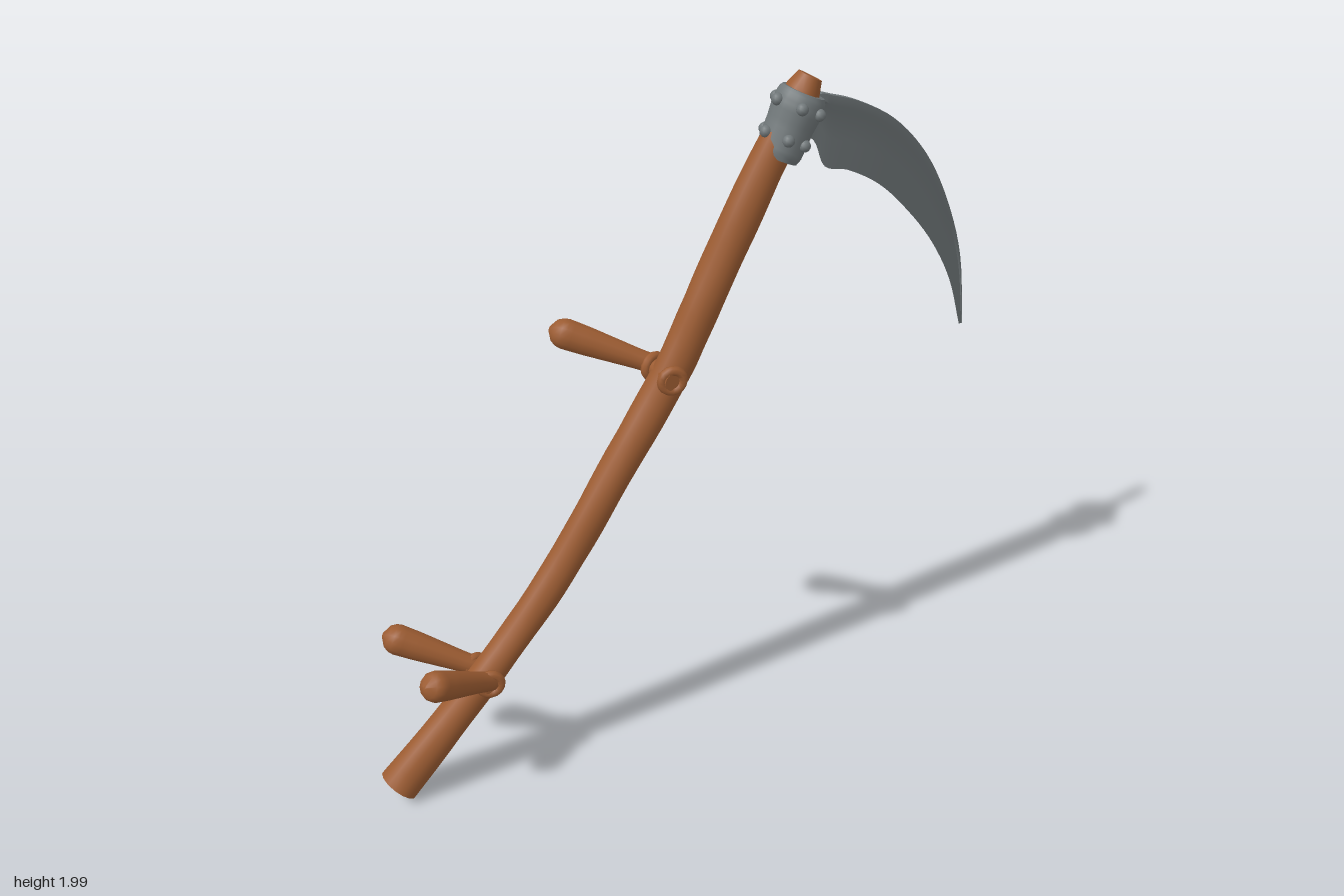
import * as THREE from 'three';
import { toCreasedNormals } from 'three/addons/utils/BufferGeometryUtils.js';

const V = (x, y, z) => new THREE.Vector3(x, y, z);
const wood = new THREE.MeshStandardMaterial({ color: 0x9c5c32 });
wood.name = 'brown wood';
const metal = new THREE.MeshStandardMaterial({ color: 0x71787a });
metal.name = 'grey metal';

// Skin over closed rings of points, with fan caps at both ends
function skin(rings) {
  const n = rings[0].length, pos = [], idx = [];
  rings.forEach(r => r.forEach(p => pos.push(p.x, p.y, p.z)));
  for (let i = 0; i < rings.length - 1; i++) {
    for (let j = 0; j < n; j++) {
      const a = i * n + j, b = i * n + (j + 1) % n;
      idx.push(a, b, a + n, b, b + n, a + n);
    }
  }
  const last = (rings.length - 1) * n;
  for (let j = 1; j < n - 1; j++) {
    idx.push(0, j + 1, j, last, last + j, last + j + 1);
  }
  const g = new THREE.BufferGeometry();
  g.setAttribute('position', new THREE.Float32BufferAttribute(pos, 3));
  g.setIndex(idx);
  return toCreasedNormals(g, 0.7);
}

// Round rod along a curve; radius(t, angle) gives its thickness
function rod(curve, steps, sides, radius) {
  const rings = [];
  for (let i = 0; i <= steps; i++) {
    const t = i / steps, c = curve.getPoint(t), tan = curve.getTangent(t);
    const n = V(0, 0, 1).cross(tan).normalize(), b = tan.clone().cross(n);
    rings.push(Array.from({ length: sides }, (_, j) => {
      const a = j / sides * Math.PI * 2, r = radius(t, a);
      return c.clone().addScaledVector(n, Math.cos(a) * r).addScaledVector(b, Math.sin(a) * r);
    }));
  }
  return skin(rings);
}

// Linear lookup in a list of [t, value]
function lookup(table, t) {
  const k = Math.max(1, table.findIndex(e => e[0] >= t - 1e-9));
  const [a, b] = [table[k - 1], table[k]];
  return THREE.MathUtils.mapLinear(t, a[0], b[0], a[1], b[1]);
}

export function createModel() {
  const model = new THREE.Group();
  model.name = 'scythe';
  const add = (name, geometry, material, parent = model) => {
    const m = new THREE.Mesh(geometry, material);
    m.name = name;
    parent.add(m);
    return m;
  };

  // Bent wooden shaft, wider at the foot
  const path = new THREE.CatmullRomCurve3([
    V(-0.95, 0.042, -0.04), V(-0.68, 0.35, 0), V(-0.47, 0.61, 0.02), V(-0.27, 0.92, 0.04),
    V(-0.1, 1.19, 0.055), V(0, 1.4, 0.07), V(0.15, 1.72, 0.095), V(0.29, 1.975, 0.11)]);
  const thick = [[0, 0.059], [0.08, 0.052], [0.18, 0.047], [0.5, 0.053], [0.8, 0.055], [0.92, 0.05], [0.98, 0.048], [1, 0.034]];
  add('shaft', rod(path, 50, 14, (t, a) =>
    lookup(thick, t) + 0.0015 * Math.sin(a * 3 + t * 17) * Math.sin(t * 40)), wood);

  // Handles: a rounded grip on a peg through the shaft, with a ring on each side
  const gripShape = [[0, 0.027], [0.2, 0.03], [0.65, 0.041], [0.85, 0.044], [0.9, 0.041], [0.95, 0.032], [1, 0.006]];
  const grip = (parent, from, to) => add('grip',
    rod(new THREE.LineCurve3(from, to), 20, 12, t => lookup(gripShape, t)), wood, parent);
  const mount = (name, x, y, z, half) => {
    const g = new THREE.Group();
    g.name = name;
    model.add(g);
    const peg = add('peg', new THREE.CylinderGeometry(0.027, 0.027, half * 2 + 0.02, 12), wood, g);
    peg.rotation.x = Math.PI / 2;
    peg.position.set(x, y, z);
    for (const s of [-1, 1]) {
      const ring = add('ring', new THREE.TorusGeometry(0.03, 0.014, 8, 16), wood, g);
      ring.position.set(x, y, z + s * half);
      ring.rotation.y = -0.25 * s;
    }
    return g;
  };
  const upper = mount('upperHandle', -0.13, 1.185, 0.055, 0.052);
  grip(upper, V(-0.12, 1.185, 0.0), V(-0.37, 1.295, -0.15));
  const lower = mount('lowerHandles', -0.69, 0.352, 0, 0.05);
  grip(lower, V(-0.68, 0.352, -0.04), V(-0.915, 0.47, -0.165));
  grip(lower, V(-0.68, 0.352, 0.04), V(-0.915, 0.47, 0.13));

  // Metal collar clamped around the top, with flared rims
  const collarPath = new THREE.LineCurve3(V(0.195, 1.765, 0.1), V(0.272, 1.935, 0.108));
  const collarShape = [[0, 0.058], [0.1, 0.064], [0.5, 0.066], [0.75, 0.071], [0.93, 0.068], [1, 0.06]];
  add('collar', rod(collarPath, 20, 16, t => lookup(collarShape, t)), metal);

  // Bolt heads on the front, back and outer side of the collar
  const boltGeometry = new THREE.SphereGeometry(0.017, 10, 8);
  const axis = collarPath.getTangent(0), side = V(0, 0, 1).cross(axis).normalize();
  for (const t of [0.3, 0.78]) {
    for (const a of [0, 65, 115, 245, 295]) {
      const r = lookup(collarShape, t), rad = THREE.MathUtils.degToRad(a);
      const bolt = add('bolt', boltGeometry, metal);
      bolt.position.copy(collarPath.getPoint(t)).addScaledVector(side, Math.cos(rad) * r);
      bolt.position.z += Math.sin(rad) * r;
    }
  }

  // Curved blade: pairs of spine and cutting edge points, swept back in z towards the tip
  const bend = x => 0.09 - 0.17 * Math.pow(Math.max(0, (x - 0.26) / 0.74), 1.7);
  const spine = [[0.26, 1.9], [0.33, 1.915], [0.38, 1.9], [0.465, 1.868], [0.61, 1.785],
    [0.76, 1.64], [0.876, 1.46], [0.96, 1.26], [0.998, 1.02]];
  const edge = [[0.26, 1.81], [0.32, 1.785], [0.363, 1.7], [0.44, 1.674], [0.57, 1.598],
    [0.7, 1.48], [0.82, 1.345], [0.92, 1.19], [0.986, 1.02]];
  const curveOf = pts => new THREE.CatmullRomCurve3(pts.map(p => V(p[0], p[1], 0)));
  const top = curveOf(spine), bottom = curveOf(edge), rings = [];
  for (let i = 0; i <= 40; i++) {
    const t = i / 40, o = top.getPoint(t), e = bottom.getPoint(t);
    const at = (k, dz) => {
      const p = o.clone().lerp(e, k);
      p.z = bend(p.x) + dz * (1 - 0.6 * t);
      return p;
    };
    rings.push([at(0, 0.014), at(0.13, 0.016), at(0.2, 0.008), at(0.6, 0.006), at(1, 0.002),
      at(1, -0.002), at(0.6, -0.006), at(0.2, -0.008), at(0.13, -0.016), at(0, -0.014)]);
  }
  add('blade', skin(rings), metal);

  return model;
}
